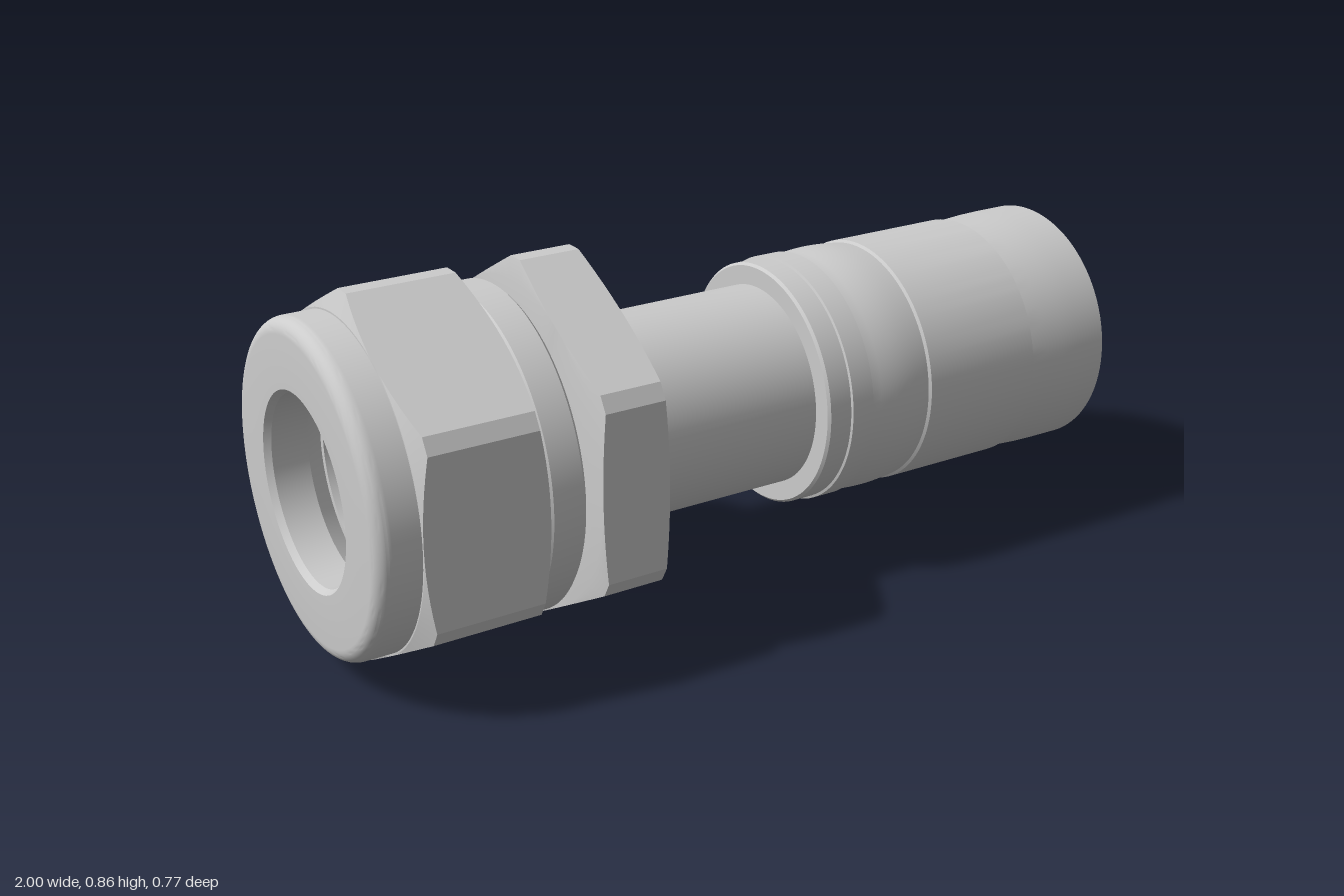
import * as THREE from 'three';
import { toCreasedNormals } from 'three/addons/utils/BufferGeometryUtils.js';

const CREASE = 0.3;
const APOTHEM = 0.385, CORNER = 0.433;

export function createModel() {
  const material = new THREE.MeshStandardMaterial({ color: 0xcccccc });
  const model = new THREE.Group();

  const add = (name, geometry) => {
    const mesh = new THREE.Mesh(toCreasedNormals(geometry, CREASE), material);
    mesh.name = name;
    model.add(mesh);
  };

  // Closed profile of [x, radius] pairs turned about the x axis (outside towards +x, inside back)
  const turned = (name, profile) => {
    const points = [...profile, profile[0]].map(([x, r]) => new THREE.Vector2(r, x));
    add(name, new THREE.LatheGeometry(points, 96).rotateZ(-Math.PI / 2));
  };

  // Points of a circular arc, angles in degrees, 0 = +x and 90 = outward
  const arc = (x, r, radius, from, to, steps = 8) =>
    Array.from({ length: steps + 1 }, (_, i) => {
      const a = THREE.MathUtils.degToRad(from + (to - from) * i / steps);
      return [x + radius * Math.cos(a), r + radius * Math.sin(a)];
    });

  // Hexagon with trimmed corners and conical end chamfers that leave scalloped edges
  const hexagon = (name, x0, x1, inner, slope) => {
    const trim = Math.acos(APOTHEM / CORNER), steps = 12;
    const columns = [];
    for (let side = 0; side < 6; side++) {
      for (let i = 0; i <= steps; i++) {
        const local = -trim + 2 * trim * i / steps;
        const r = APOTHEM / Math.cos(local), cut = (r - APOTHEM) * slope;
        const a = side * Math.PI / 3 + local;
        columns.push([[x0, inner], [x0, APOTHEM - 0.001], [x0 + cut, r],
          [x1 - cut, r], [x1, APOTHEM - 0.001], [x1, inner]]
          .map(([x, q]) => [x, q * Math.sin(a), q * Math.cos(a)]));
      }
    }
    const positions = [];
    columns.forEach((here, i) => {
      const next = columns[(i + 1) % columns.length];
      for (let k = 0; k < here.length - 1; k++) {
        positions.push(...here[k], ...here[k + 1], ...next[k + 1],
          ...here[k], ...next[k + 1], ...next[k]);
      }
    });
    const geometry = new THREE.BufferGeometry();
    geometry.setAttribute('position', new THREE.Float32BufferAttribute(positions, 3));
    geometry.computeVertexNormals();
    add(name, geometry);
  };

  // Union nut: round body with a rounded rear edge and a stepped opening
  turned('nutBody', [
    [-1, 0.225], ...arc(-0.965, 0.345, 0.035, 180, 90),
    [-0.615, 0.38], [-0.607, 0.375], [-0.6, 0.38], [-0.527, 0.38], [-0.52, 0.373],
    [-0.52, 0.28], [-0.86, 0.28], [-0.86, 0.24], [-0.9, 0.215], [-0.985, 0.215],
  ]);
  hexagon('nutHexagon', -0.9, -0.61, 0.36, 0.4);

  // Stem: threaded end with conical seat, neck, and inner tail with a rounded tip
  turned('stem', [
    [-0.86, 0.225], [-0.86, 0.3], [-0.33, 0.3], [-0.32, 0.275],
    ...arc(-0.288, 0.275, 0.032, 180, 270),
    [0.2, 0.243], [0.2, 0.19], ...arc(0.945, 0.165, 0.025, 90, 65, 3),
    ...arc(0.945, 0.153, 0.036, 55, 0, 6),
    [0.981, 0.143], [-0.6, 0.143], [-0.6, 0.19],
  ]);
  hexagon('stemHexagon', -0.485, -0.32, 0.25, 0.2);

  // Ferrule: stepped collar, swaged section, grip sleeve and flared mouth
  const bulge = Array.from({ length: 9 }, (_, i) =>
    [0.295 + 0.16 * i / 8, 0.295 + 0.006 * Math.sin(Math.PI * i / 8)]);
  turned('ferrule', [
    [0.165, 0.24], [0.165, 0.289], [0.171, 0.295], [0.228, 0.295], [0.23, 0.301],
    [0.288, 0.301], [0.292, 0.295], ...bulge,
    [0.46, 0.301], [0.774, 0.301], [0.777, 0.295],
    [0.82, 0.297], [0.87, 0.3], [0.92, 0.301], [1, 0.301],
    [1, 0.294], [0.9, 0.292], [0.78, 0.27], [0.3, 0.27], [0.3, 0.185], [0.2, 0.185],
  ]);

  model.position.y = CORNER;
  const root = new THREE.Group();
  root.name = 'hoseFitting';
  root.add(model);
  return root;
}
